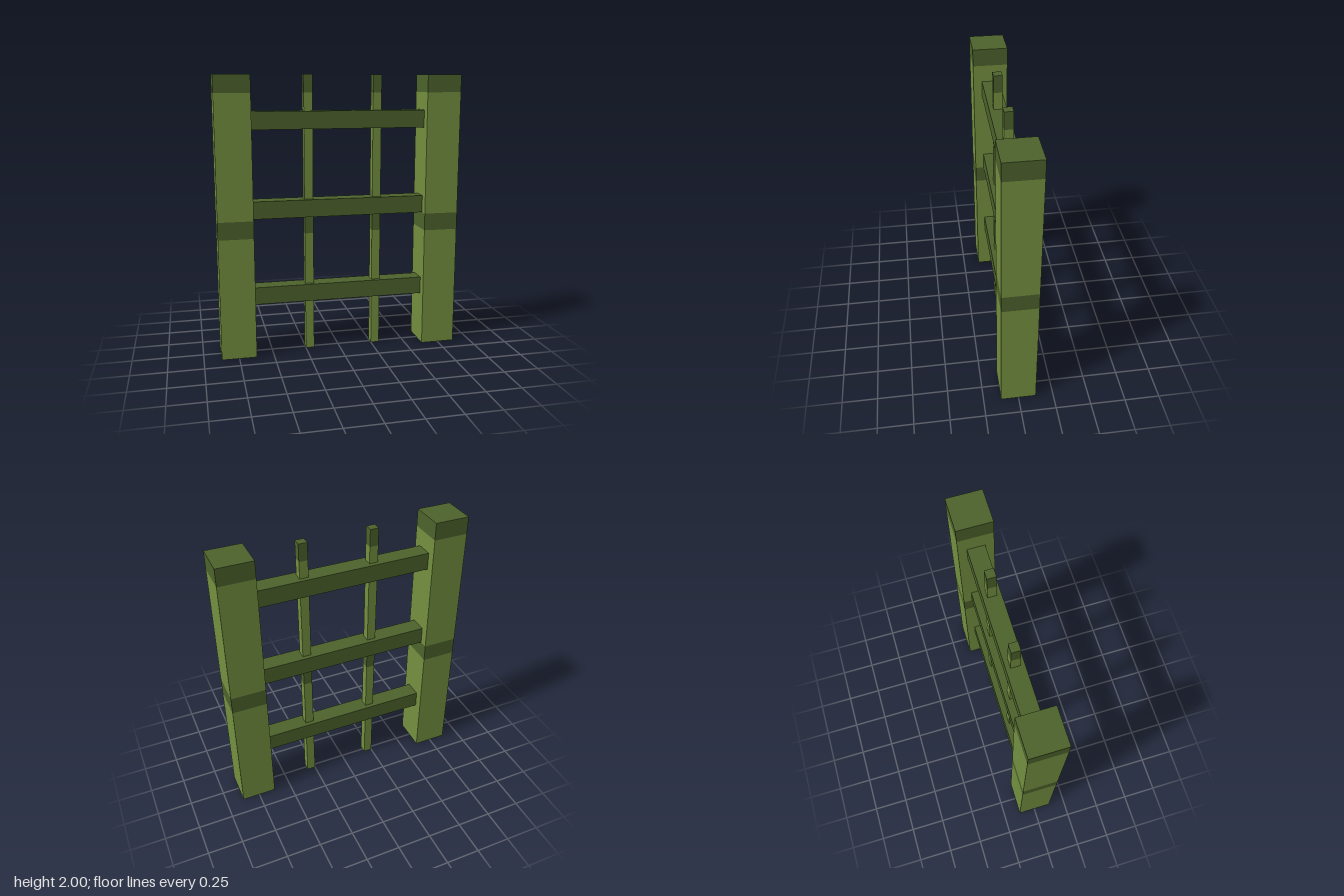
import * as THREE from 'three';

export function createModel() {
  const stalk = new THREE.MeshStandardMaterial({ name: 'stalk green', color: 0x749040 });
  const dark = new THREE.MeshStandardMaterial({ name: 'dark green', color: 0x4d632c });
  const model = new THREE.Group();
  model.name = 'fencePanel';

  function box(name, material, w, h, d, x, bottom, parent) {
    const mesh = new THREE.Mesh(new THREE.BoxGeometry(w, h, d), material);
    mesh.name = name;
    mesh.position.set(x, bottom + h / 2, 0);
    parent.add(mesh);
  }

  // Upright of two stacked segments: light stalk with a dark band on top;
  // the underside of each stalk is dark too
  const stalkFaces = [stalk, stalk, stalk, dark, stalk, stalk];
  function upright(name, width, x) {
    const group = new THREE.Group();
    group.name = name;
    for (const y of [0, 1]) {
      box('stalk', stalkFaces, width, 0.875, width, x, y, group);
      box('band', dark, width, 0.125, width, x, y + 0.875, group);
    }
    model.add(group);
  }

  // Thick outer posts
  upright('rightPost', 0.25, -0.75);
  upright('leftPost', 0.25, 0.75);

  // Thin bars, both set slightly to the right of the quarter points
  upright('rightBar', 0.0625, -0.21875);
  upright('leftBar', 0.0625, 0.28125);

  // Horizontal rails between the posts
  for (const y of [0.375, 1.0, 1.625]) {
    box('rail', dark, 1.25, 0.125, 0.125, 0, y, model);
  }
  return model;
}
